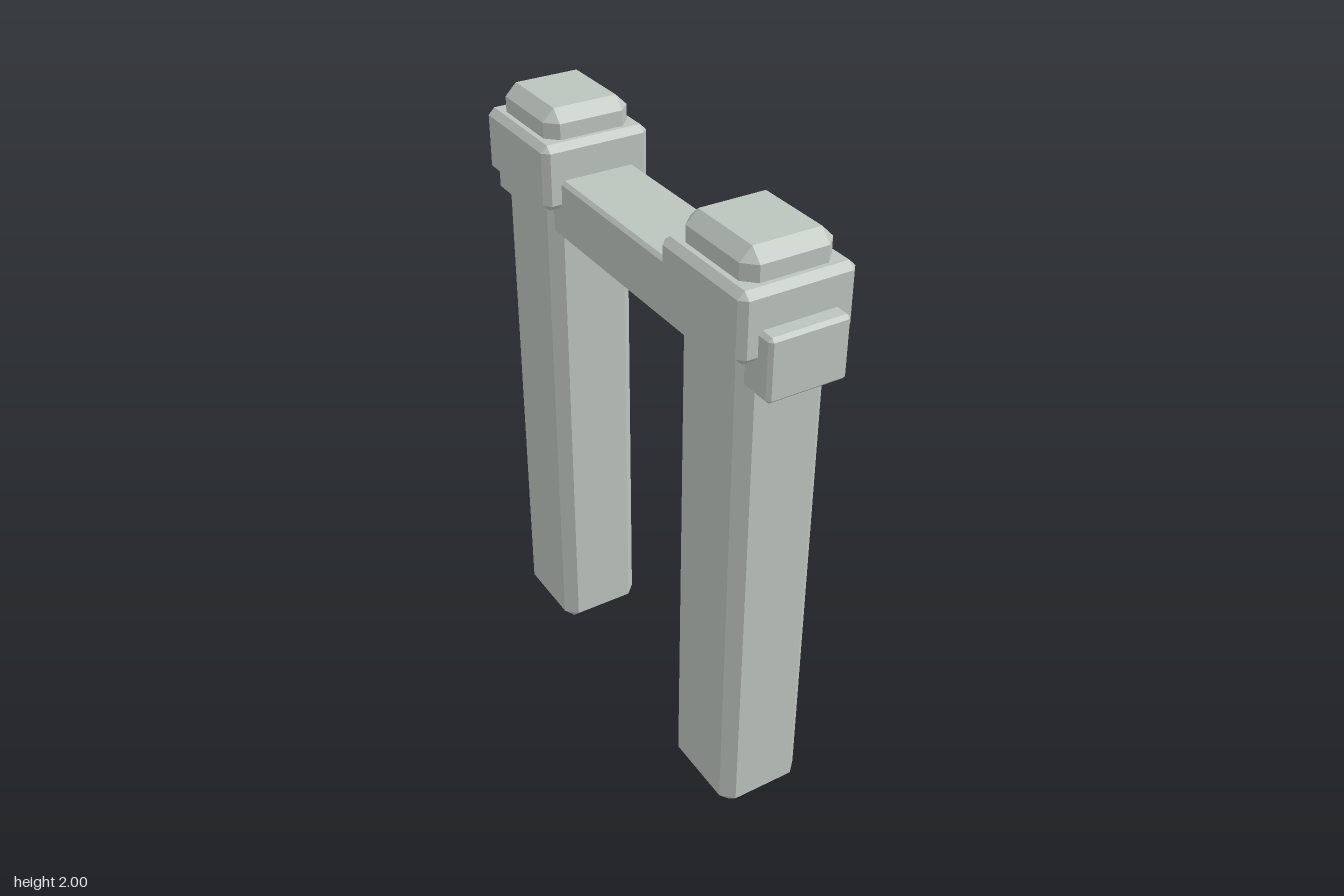
import * as THREE from 'three';
import { ConvexGeometry } from 'three/addons/geometries/ConvexGeometry.js';

// Box with flat chamfered edges and triangular corner cuts
function chamferBox(w, h, d, b) {
  const points = [];
  for (const sx of [-1, 1]) for (const sy of [-1, 1]) for (const sz of [-1, 1]) {
    const x = w / 2, y = h / 2, z = d / 2;
    points.push(
      new THREE.Vector3(sx * x, sy * (y - b), sz * (z - b)),
      new THREE.Vector3(sx * (x - b), sy * y, sz * (z - b)),
      new THREE.Vector3(sx * (x - b), sy * (y - b), sz * z),
    );
  }
  return new ConvexGeometry(points);
}

export function createModel() {
  const group = new THREE.Group();
  group.name = 'stoneGate';
  const stone = new THREE.MeshStandardMaterial({ color: 0xbcc4be, flatShading: true });
  stone.name = 'pale stone';

  const add = (name, geometry, y, z) => {
    const mesh = new THREE.Mesh(geometry, stone);
    mesh.name = name;
    mesh.position.set(0, y, z);
    group.add(mesh);
  };

  // Two posts, each with a collar near the top
  const post = chamferBox(0.29, 2, 0.325, 0.038);
  const collar = chamferBox(0.365, 0.212, 0.396, 0.021);
  for (const [side, s] of [['front', 1], ['back', -1]]) {
    add(side + 'Post', post, 1, s * 0.524);
    add(side + 'Collar', collar, 1.806, s * 0.524);
  }

  // Crossbeam passing through both posts
  add('crossbeam', chamferBox(0.256, 0.196, 1.55, 0.011), 1.699, 0);
  return group;
}
